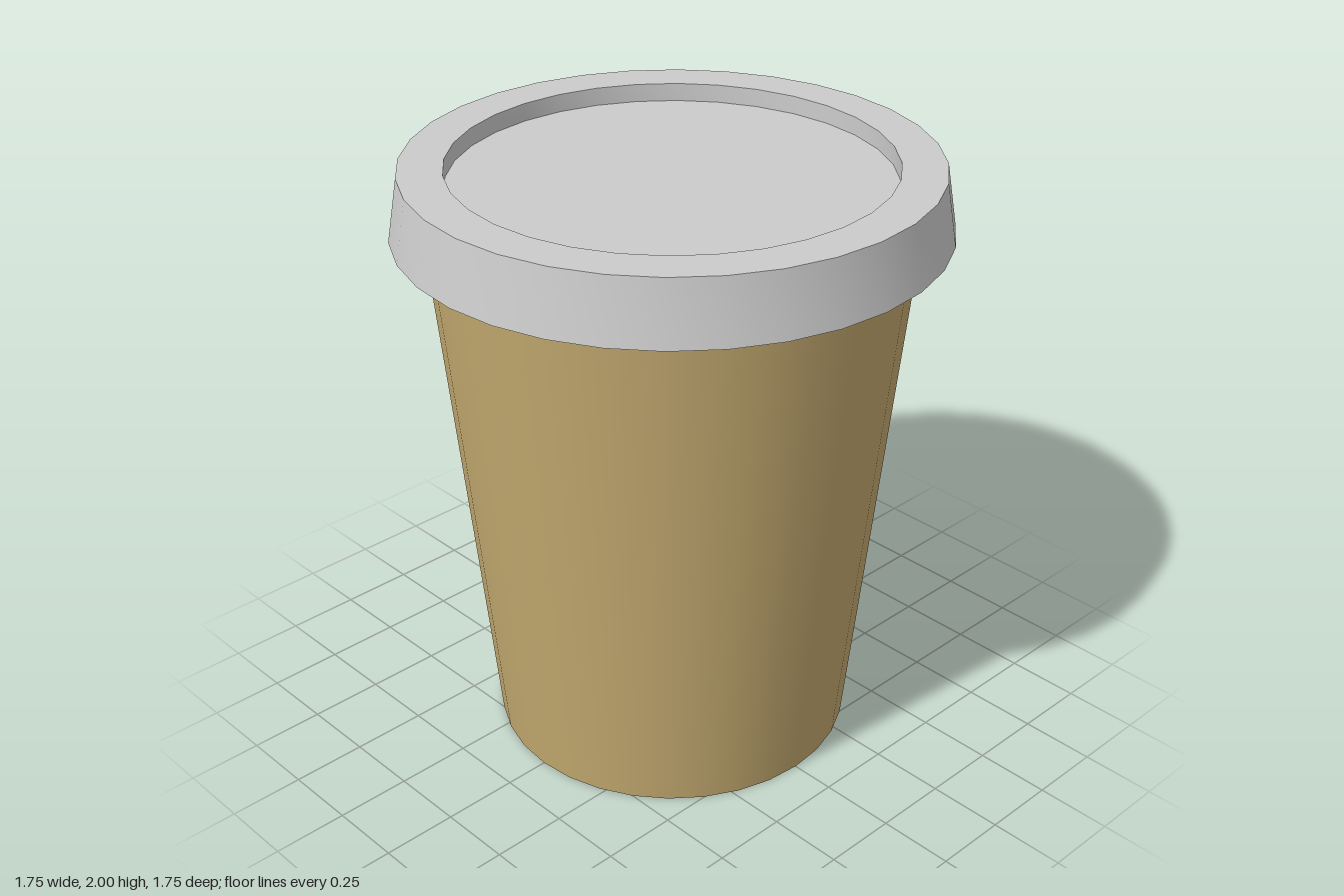
import * as THREE from 'three';
import { toCreasedNormals } from 'three/addons/utils/BufferGeometryUtils.js';

const SEGMENTS = 32;
const LID_BASE = 1.795;

export function createModel() {
  const model = new THREE.Group();
  model.name = 'lidded cup';

  // Tapered cup body, closed at the bottom
  const cup = new THREE.Mesh(
    new THREE.CylinderGeometry(0.772, 0.6, LID_BASE, SEGMENTS),
    new THREE.MeshStandardMaterial({ color: 0xc4aa70 })
  );
  cup.name = 'cup';
  cup.position.y = LID_BASE / 2;
  model.add(cup);

  // Lid: flat underside, sloped skirt, raised rim and recessed top
  const profile = [
    [0, LID_BASE],
    [0.877, LID_BASE],
    [0.842, 2],
    [0.7, 2],
    [0.7, 1.94],
    [0, 1.94],
  ].map(([r, y]) => new THREE.Vector2(r, y));
  const lid = new THREE.Mesh(
    toCreasedNormals(new THREE.LatheGeometry(profile, SEGMENTS), Math.PI / 6),
    new THREE.MeshStandardMaterial({ color: 0xcccccc })
  );
  lid.name = 'lid';
  model.add(lid);

  return model;
}
